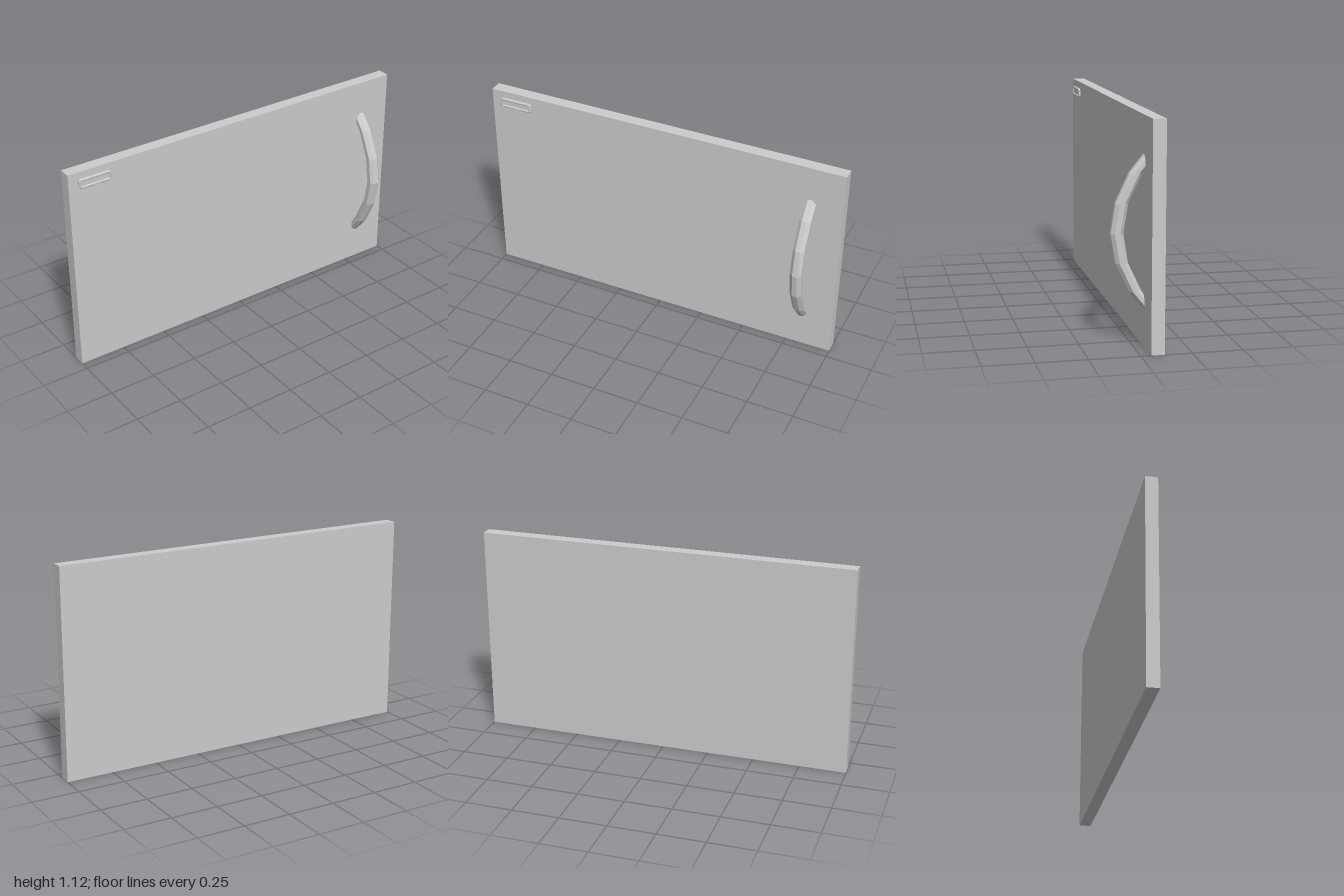
import * as THREE from 'three';

const material = new THREE.MeshStandardMaterial({ color: 0xcccccc, flatShading: true });

function addMesh(parent, name, geometry) {
  const mesh = new THREE.Mesh(geometry, material);
  mesh.name = name;
  parent.add(mesh);
  return mesh;
}

// Rectangle with chamfered corners, centred on the origin
function chamferedRect(target, w, h, c) {
  const x = w / 2, y = h / 2;
  target.setFromPoints([
    [-x + c, -y], [x - c, -y], [x, -y + c], [x, y - c],
    [x - c, y], [-x + c, y], [-x, y - c], [-x, -y + c],
  ].map(([a, b]) => new THREE.Vector2(a, b)));
  target.closePath();
  return target;
}

// Octagonal bar made of horizontal sections following the bow
function handleGeometry() {
  const path = [
    [-0.081, 0.181], [-0.009, 0.27], [0.058, 0.412], [0.081, 0.555],
    [0.058, 0.698], [-0.009, 0.84], [-0.081, 0.929],
  ];
  const sides = 8, radius = 0.0335, z = -0.825;
  const positions = [], index = [];
  for (const [x, y] of path) {
    for (let i = 0; i < sides; i++) {
      const a = ((i + 0.5) / sides) * Math.PI * 2;
      positions.push(x + Math.cos(a) * radius, y, z + Math.sin(a) * radius);
    }
  }
  for (let r = 0; r < path.length - 1; r++) {
    for (let i = 0; i < sides; i++) {
      const a = r * sides + i, b = r * sides + (i + 1) % sides;
      index.push(a, a + sides, b, b, a + sides, b + sides);
    }
  }
  const geometry = new THREE.BufferGeometry();
  geometry.setAttribute('position', new THREE.Float32BufferAttribute(positions, 3));
  geometry.setIndex(index);
  geometry.computeVertexNormals();
  return geometry;
}

export function createModel() {
  const model = new THREE.Group();
  model.name = 'doorPanel';

  // Flat slab
  addMesh(model, 'panel', new THREE.BoxGeometry(0.065, 1.115, 2)).position.set(-0.0825, 0.5575, 0);

  // Bowed pull handle
  addMesh(model, 'handle', handleGeometry());

  // Small plate: bevelled rim around a recessed floor
  const plate = new THREE.Group();
  plate.name = 'plate';
  plate.position.set(-0.051, 1.05, 0.855);
  plate.rotation.y = Math.PI / 2;
  const rim = chamferedRect(new THREE.Shape(), 0.174, 0.046, 0.006);
  rim.holes.push(chamferedRect(new THREE.Path(), 0.162, 0.034, 0.003));
  addMesh(plate, 'plateRim', new THREE.ExtrudeGeometry(rim, {
    depth: 0.008, bevelEnabled: true, bevelThickness: 0.004, bevelSize: 0.004, bevelSegments: 1,
  }));
  addMesh(plate, 'plateFloor', new THREE.BoxGeometry(0.164, 0.036, 0.006)).position.z = 0.003;
  model.add(plate);

  return model;
}
